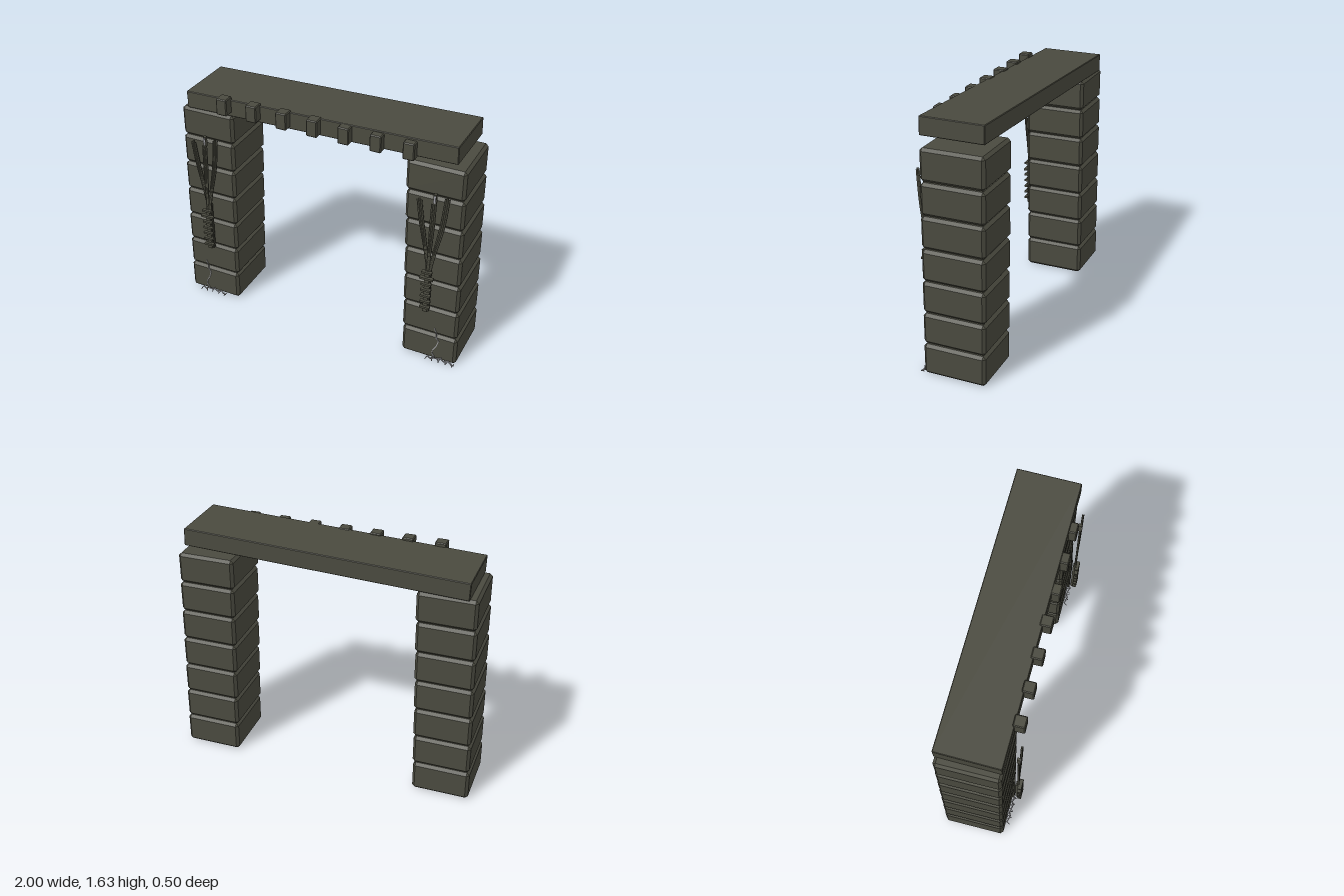
import * as THREE from 'three';
import { ConvexGeometry } from 'three/addons/geometries/ConvexGeometry.js';

const stone = new THREE.MeshStandardMaterial({ color: 0x4a4a3f });
stone.name = 'olive stone';
const pale = new THREE.MeshStandardMaterial({ color: 0x96969a });
pale.name = 'pale crack grey';

const V = (x, y, z) => new THREE.Vector3(x, y, z);

function part(name, geometry, material, parent, x = 0, y = 0, z = 0) {
  const mesh = new THREE.Mesh(geometry, material);
  mesh.name = name;
  mesh.position.set(x, y, z);
  parent.add(mesh);
  return mesh;
}

// Box with flat chamfers on every edge
function chamferedBox(w, h, d, c) {
  const pts = [];
  for (const sx of [-1, 1]) for (const sy of [-1, 1]) for (const sz of [-1, 1]) {
    const x = w / 2, y = h / 2, z = d / 2;
    pts.push(V(sx * x, sy * (y - c), sz * (z - c)));
    pts.push(V(sx * (x - c), sy * y, sz * (z - c)));
    pts.push(V(sx * (x - c), sy * (y - c), sz * z));
  }
  return new ConvexGeometry(pts);
}

// Chain of thin bars through a list of points
function barChain(name, points, width, thick, material, parent) {
  for (let i = 0; i < points.length - 1; i++) {
    const a = points[i], b = points[i + 1];
    const dir = b.clone().sub(a);
    const bar = part(name, new THREE.BoxGeometry(width, dir.length() + width * 0.4, thick), material, parent);
    bar.position.copy(a).add(b).multiplyScalar(0.5);
    bar.quaternion.setFromUnitVectors(V(0, 1, 0), dir.normalize());
  }
}

// Column of seven blocks, leaning slightly inward
function column(side) {
  const group = new THREE.Group();
  group.name = side > 0 ? 'leftColumn' : 'rightColumn';
  const pitch = 1.46 / 7;
  const block = chamferedBox(0.376, pitch - 0.005, 0.41, 0.018);
  for (let i = 0; i < 7; i++) {
    part('columnBlock', block, stone, group, side * (0.812 - i * 0.005), (i + 0.5) * pitch, -0.04);
  }
  return group;
}

// Branching relief with a ribbed stem
function carving() {
  const group = new THREE.Group();
  group.name = 'branchCarving';
  const branches = [
    { stem: -0.014, tip: -0.092, top: 1.24, z: 0.193, start: 0.415 },
    { stem: 0, tip: 0.012, top: 1.25, z: 0.222, start: 0.43 },
    { stem: 0.014, tip: 0.094, top: 1.305, z: 0.219, start: 0.43 },
  ];
  for (const b of branches) {
    for (let k = -1; k <= 1; k++) {
      const spread = k * 0.011;
      const path = new THREE.CatmullRomCurve3([
        V(b.stem + k * 0.004, b.start, b.z),
        V(b.stem + k * 0.004, 0.74, b.z),
        V(b.stem + (b.tip - b.stem) * 0.25 + spread * 0.6, 0.88, b.z),
        V(b.stem + (b.tip - b.stem) * 0.72 + spread, 1.08, b.z),
        V(b.tip + spread, b.top - Math.abs(k) * 0.01, b.z),
      ]);
      part('branchStrand', new THREE.TubeGeometry(path, 20, 0.0065, 6), stone, group);
    }
  }
  // Back stem, front stem and pale tip
  part('backStem', new THREE.BoxGeometry(0.034, 0.36, 0.012), stone, group, 0, 0.6, 0.193);
  part('frontStem', new THREE.BoxGeometry(0.03, 0.32, 0.024), stone, group, 0, 0.59, 0.219);
  part('middleTip', new THREE.BoxGeometry(0.018, 0.07, 0.022), stone, group, 0.017, 1.272, 0.219);
  part('paleTip', new THREE.BoxGeometry(0.012, 0.05, 0.006), pale, group, 0.018, 1.275, 0.231);
  // Ribs
  for (let i = 0; i < 7; i++) {
    const width = i === 5 ? 0.09 : 0.066;
    part('rib', new THREE.BoxGeometry(width, 0.014, 0.025), stone, group, 0, 0.47 + i * 0.045, 0.235);
  }
  return group;
}

// Zigzag crack with jagged splinters at the foot
function crack(mirror) {
  const group = new THREE.Group();
  group.name = 'baseCrack';
  const z = 0.168;
  const line = [[0.035, 0.262], [0.052, 0.22], [0.05, 0.19], [0.068, 0.165], [0.055, 0.12],
    [0.032, 0.08], [0.028, 0.05], [0.045, 0.03]].map(([x, y]) => V(x, y, z));
  barChain('crackLine', line, 0.005, 0.005, pale, group);
  const foot = [[0, 0.02], [0.025, 0.012], [0.045, 0.03], [0.07, 0.02], [0.095, 0.035],
    [0.12, 0.022], [0.145, 0.028], [0.165, 0.012], [0.185, 0.012]]
    .map(([x, y], i) => V(x, y, 0.172 + (i % 3) * 0.006));
  barChain('crackFoot', foot, 0.008, 0.006, pale, group);
  foot.forEach((p, i) => {
    const tip = V(p.x + (i % 2 ? 0.014 : -0.01), Math.max(0.006, p.y - 0.014), 0.192);
    barChain('splinter', [V(p.x, p.y, z), tip], 0.004, 0.004, pale, group);
  });
  return group;
}

export function createModel() {
  const model = new THREE.Group();
  model.name = 'stoneGateway';

  for (const side of [-1, 1]) {
    model.add(column(side));
    const relief = carving();
    relief.position.x = side * 0.79;
    model.add(relief);
    const split = crack();
    split.position.x = side < 0 ? -0.91 : 0.81;
    model.add(split);
  }

  // Crooked lintel
  const lintel = part('lintel', chamferedBox(1.842, 0.115, 0.412, 0.004), stone, model, 0, 1.543, -0.033);
  lintel.rotation.set(0, -0.0125, 0.031);

  // Row of studs on the lintel face
  const stud = chamferedBox(0.074, 0.112, 0.075, 0.006);
  for (let i = -3; i <= 3; i++) {
    part('lintelStud', stud, stone, model, i * 0.2095 - 0.003, 1.549, 0.19);
  }
  return model;
}
